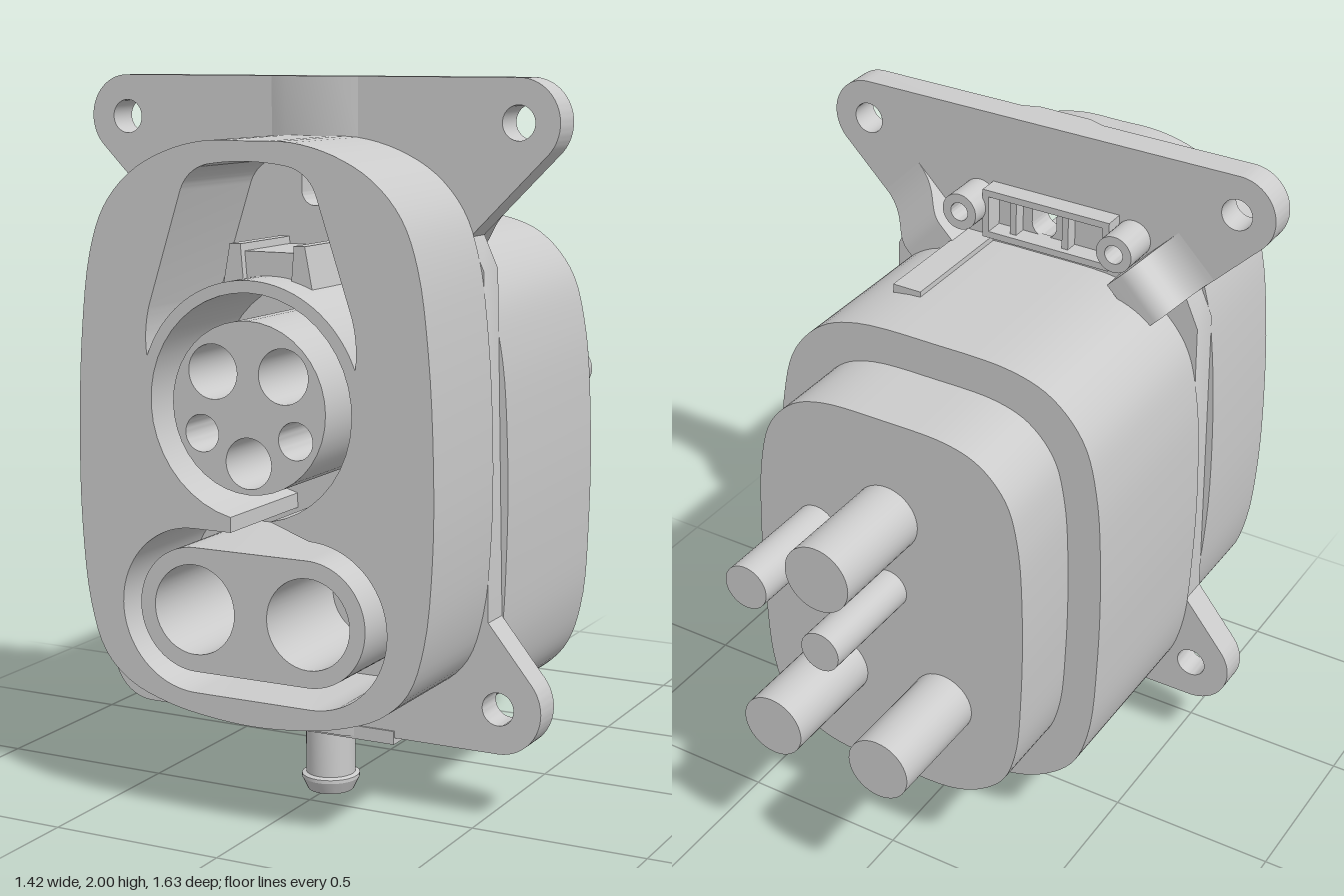
import * as THREE from 'three';
import { toCreasedNormals } from 'three/addons/utils/BufferGeometryUtils.js';

const material = new THREE.MeshStandardMaterial({ color: 0xcccccc, side: THREE.DoubleSide });

export function createModel() {
  const model = new THREE.Group();

  const add = (name, geometry, x = 0, y = 0, z = 0) => {
    const mesh = new THREE.Mesh(geometry, material);
    mesh.name = name;
    mesh.position.set(x, y, z);
    model.add(mesh);
    return mesh;
  };
  const extrude = (shape, depth) => toCreasedNormals(
    new THREE.ExtrudeGeometry(shape, { depth, bevelEnabled: false, curveSegments: 20 }), 0.5);
  // Extrude an outline in the xy plane from z0 to z1
  const slab = (name, shape, z0, z1) => add(name, extrude(shape, z1 - z0), 0, 0, z0);
  const box = (name, x0, x1, y0, y1, z0, z1) => add(name,
    new THREE.BoxGeometry(x1 - x0, y1 - y0, z1 - z0), (x0 + x1) / 2, (y0 + y1) / 2, (z0 + z1) / 2);
  const circle = (x, y, r) => new THREE.Path().absarc(x, y, r, 0, Math.PI * 2, false);
  const polygon = (points) => new THREE.Shape(points.map(([x, y]) => new THREE.Vector2(x, y)));

  // Rounded housing outline from right-half points, mirrored into a closed spline
  const outline = (half) => {
    const left = half.slice(1, -1).reverse().map(([x, y]) => [-x, y]);
    const pts = [...half, ...left].map(([x, y]) => new THREE.Vector3(x, y, 0));
    const curve = new THREE.CatmullRomCurve3(pts, true, 'centripetal');
    return polygon(curve.getPoints(112).slice(0, -1).map((p) => [p.x, p.y]));
  };
  // Rear housing section: bulged sides and large rounded corners
  const rearOutline = (w, y0, y1) => {
    const s = w / 0.53;
    const X = (x) => x * s, T = (d) => y1 - d * s, B = (d) => y0 + d * s;
    return outline([
      [0, y0], [X(0.24), B(0.005)], [X(0.36), B(0.05)], [X(0.46), B(0.14)], [X(0.51), B(0.28)],
      [w, B(0.55)], [w, T(0.58)], [X(0.51), T(0.32)], [X(0.465), T(0.16)], [X(0.37), T(0.055)],
      [X(0.25), T(0.01)], [0, y1],
    ]);
  };

  // Front shroud with the latch pocket and the keyhole-shaped socket recess
  const CY = 1.155, DY = 0.595;
  const shroud = outline([
    [0, 0.30], [0.13, 0.308], [0.26, 0.33], [0.38, 0.375], [0.46, 0.45], [0.505, 0.58],
    [0.528, 0.80], [0.53, 1.05], [0.515, 1.33], [0.485, 1.54], [0.44, 1.66], [0.36, 1.75],
    [0.25, 1.81], [0.13, 1.84], [0, 1.842],
  ]);
  const pocket = new THREE.Path();
  const pa = Math.atan2(1.27 - CY, 0.31);
  pocket.moveTo(0.31, 1.27);
  pocket.quadraticCurveTo(0.32, 1.34, 0.30, 1.41);
  pocket.lineTo(0.20, 1.71);
  pocket.quadraticCurveTo(0.18, 1.765, 0.12, 1.78);
  pocket.quadraticCurveTo(0, 1.80, -0.12, 1.78);
  pocket.quadraticCurveTo(-0.18, 1.765, -0.20, 1.71);
  pocket.lineTo(-0.30, 1.41);
  pocket.quadraticCurveTo(-0.32, 1.34, -0.31, 1.27);
  pocket.absarc(0, CY, 0.332, Math.PI - pa, pa, true);
  const recess = new THREE.Path();
  const na = Math.asin(0.06 / 0.3);
  recess.moveTo(0.06, DY + 0.225);
  recess.absarc(0, CY, 0.3, -Math.PI / 2 + na, Math.PI * 1.5 - na, false);
  recess.lineTo(-0.06, DY + 0.225);
  recess.absarc(-0.175, DY, 0.225, Math.PI / 2, Math.PI * 1.5, false);
  recess.absarc(0.175, DY, 0.225, -Math.PI / 2, Math.PI / 2, false);
  shroud.holes.push(pocket, recess);
  slab('frontShroud', shroud, 0.45, 0.81);

  // Round signal insert and oblong power insert
  const roundInsert = new THREE.Shape().absarc(0, CY, 0.228, 0, Math.PI * 2, false);
  [[-0.105, 1.245, 0.073], [0.105, 1.245, 0.073], [-0.14, 1.08, 0.05], [0.14, 1.08, 0.05], [0, 1.01, 0.068]]
    .forEach((h) => roundInsert.holes.push(circle(...h)));
  slab('roundInsert', roundInsert, 0.45, 0.815);
  const powerInsert = new THREE.Shape();
  powerInsert.absarc(-0.17, 0.6, 0.17, Math.PI / 2, Math.PI * 1.5, false);
  powerInsert.absarc(0.17, 0.6, 0.17, -Math.PI / 2, Math.PI / 2, false);
  powerInsert.holes.push(circle(-0.172, 0.6, 0.123), circle(0.172, 0.6, 0.123));
  slab('powerInsert', powerInsert, 0.45, 0.815);

  // Mounting flange with four eared bolt holes and a latch slot
  const flange = new THREE.Shape();
  flange.moveTo(0.5, 1.5);
  flange.lineTo(0.46, 1.588);
  flange.absarc(0.595, 1.885, 0.115, -Math.PI / 4, Math.PI / 2, false);
  flange.absarc(-0.595, 1.885, 0.115, Math.PI / 2, Math.PI * 1.25, false);
  flange.lineTo(-0.46, 1.588);
  flange.lineTo(-0.5, 1.5);
  flange.lineTo(-0.52, 0.56);
  flange.absarc(-0.55, 0.325, 0.125, Math.PI * 0.79, Math.PI * 1.5, false);
  flange.absarc(0.55, 0.325, 0.125, -Math.PI / 2, Math.PI * 0.21, false);
  flange.lineTo(0.52, 0.56);
  const slot = new THREE.Path();
  slot.moveTo(0.04, 1.78);
  slot.lineTo(-0.04, 1.78);
  slot.absarc(0, 1.695, 0.04, Math.PI, Math.PI * 2, false);
  flange.holes.push(slot);
  for (const s of [-1, 1]) flange.holes.push(circle(s * 0.595, 1.885, 0.046), circle(s * 0.55, 0.325, 0.046));
  slab('mountingFlange', flange, 0.36, 0.45);

  // Shallow raised pad on the flange front, above and below the shroud
  const pad = polygon([[-0.16, -0.44], [0.16, -0.44], [0.08, -0.468], [-0.08, -0.468]]);
  for (const [y, h] of [[1.8, 0.2], [0.19, 0.15]]) {
    add('flangePad', extrude(pad, h).rotateX(-Math.PI / 2), 0, y, 0);
  }

  // Rear housing, stepped
  slab('rearHousing', rearOutline(0.532, 0.18, 1.6), -0.235, 0.36);
  slab('rearCap', rearOutline(0.43, 0.29, 1.49), -0.485, -0.235);
  box('topRib', 0.17, 0.26, 1.56, 1.615, -0.035, 0.36);
  box('bottomLip', -0.24, 0.24, 0.182, 0.22, 0.35, 0.455);

  // Cables leaving the back: x, y, radius
  for (const [x, y, r] of [[0, 1.18, 0.1], [0.235, 1.065, 0.067], [0, 0.94, 0.06], [-0.175, 0.605, 0.095], [0.175, 0.605, 0.095]]) {
    add('cable', new THREE.CylinderGeometry(r, r, 0.36, 40).rotateX(Math.PI / 2), x, y, -0.64);
  }

  // Sweeping gussets from the upper flange ears down to the housing
  const q = Math.SQRT1_2;
  const ramp = new THREE.Shape();
  ramp.moveTo(1.87 * q, 0.38);
  ramp.lineTo(1.87 * q, 0.27);
  ramp.lineTo(1.95 * q, 0.27);
  ramp.bezierCurveTo(2.04 * q, 0.27, 2.06 * q, 0.355, 2.21 * q, 0.36);
  ramp.lineTo(2.21 * q, 0.38);
  const rampGeometry = extrude(ramp, 0.23 * q);
  rampGeometry.translate(0, 0, -1.36 * q);
  rampGeometry.applyMatrix4(new THREE.Matrix4().makeBasis(
    new THREE.Vector3(q, q, 0), new THREE.Vector3(0, 0, 1), new THREE.Vector3(q, -q, 0)));
  for (const s of [-1, 1]) add('gusset', rampGeometry).scale.x = s;

  // Screw bosses and actuator frame behind the flange
  for (const x of [-0.285, 0.215]) {
    const boss = new THREE.Shape().absarc(x, 1.73, 0.055, 0, Math.PI * 2, false);
    boss.holes.push(circle(x, 1.73, 0.028));
    slab('screwBoss', boss, 0.245, 0.37);
  }
  const frame = polygon([[-0.24, 1.64], [0.17, 1.64], [0.17, 1.79], [-0.24, 1.79]]);
  frame.holes.push(polygon([[-0.22, 1.66], [0.15, 1.66], [0.15, 1.77], [-0.22, 1.77]]));
  slab('actuatorFrame', frame, 0.3, 0.37);
  for (const x of [-0.1, 0.07]) box('frameRib', x, x + 0.02, 1.65, 1.78, 0.32, 0.37);

  // Latch catch inside the pocket
  box('latchCatch', -0.085, 0.085, 1.45, 1.55, 0.45, 0.69);
  for (const s of [-1, 1]) {
    slab('latchCheek', polygon([[s * 0.07, 1.45], [s * 0.135, 1.45], [s * 0.112, 1.57], [s * 0.08, 1.57]]), 0.45, 0.71);
  }

  // Hollow drain spout with a barbed end
  const spout = [[0.045, 0.1], [0.045, 0], [0.065, 0], [0.082, 0.035], [0.082, 0.045], [0.07, 0.05], [0.07, 0.22]];
  add('drainSpout', toCreasedNormals(
    new THREE.LatheGeometry(spout.map(([x, y]) => new THREE.Vector2(x, y)), 36), 0.4), 0, 0, 0.375);
  add('drainPlug', new THREE.CylinderGeometry(0.046, 0.046, 0.02, 36), 0, 0.11, 0.375);

  return model;
}
